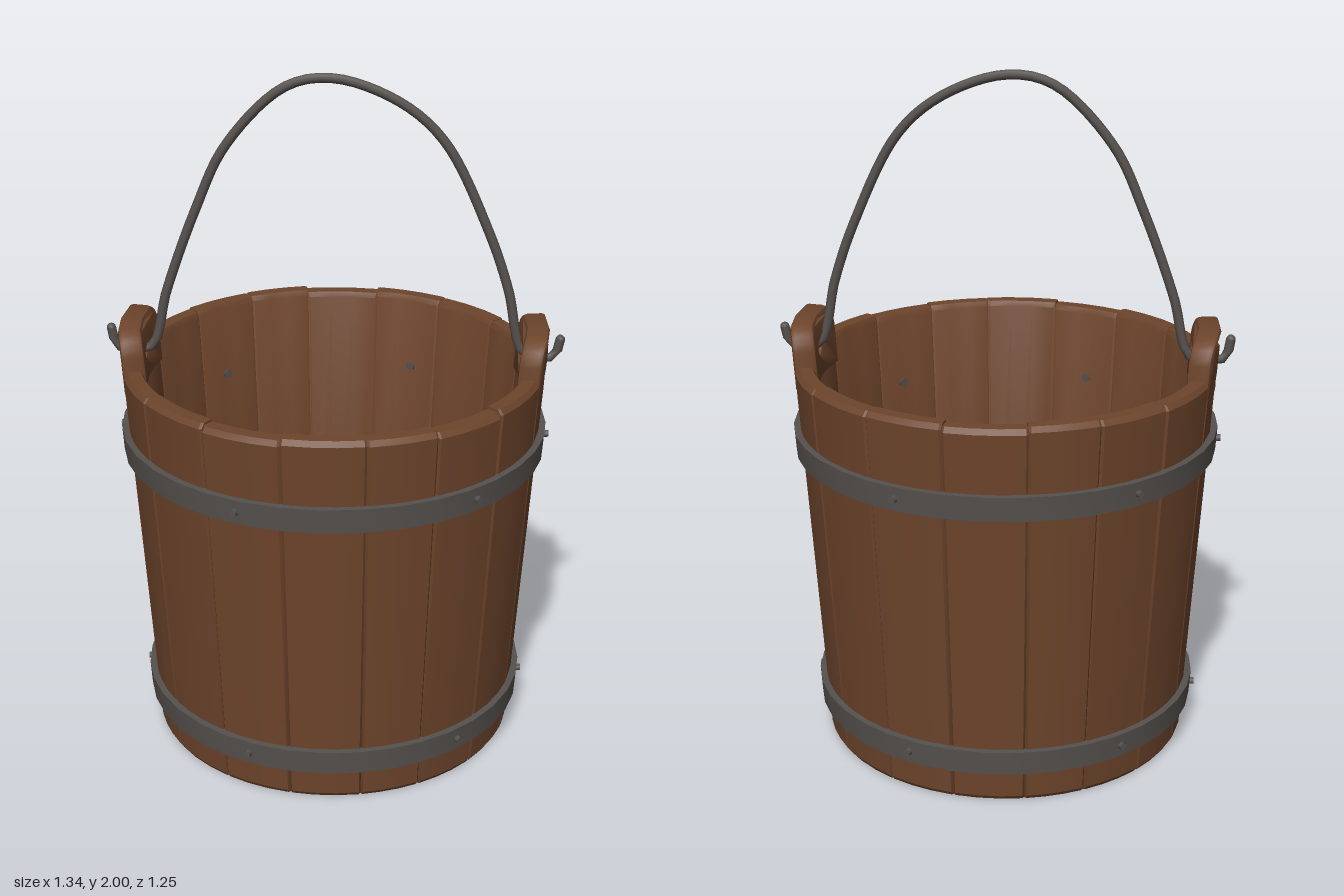
import * as THREE from 'three';
import { toCreasedNormals } from 'three/addons/utils/BufferGeometryUtils.js';

const RAD = Math.PI / 180;
const WALL = 0.058;
const outerRadius = (y) => 0.54 + 0.066 * y;

// Curved stave lofted through horizontal cross-sections, with chamfered edges and ends
function staveGeometry(a0, a1, top) {
  const c = 0.011;
  const levels = [[0, 0.007], [0.012, 0], [top - 0.015, 0], [top, 0.012]];
  const ts = [0, 1 / 3, 2 / 3, 1];
  const pos = [], index = [];
  for (const [y, inset] of levels) {
    const ro = outerRadius(y) - inset, ri = outerRadius(y) - WALL + inset * 0.6;
    const inner = ts.map((t) => [a0 + c + (a1 - a0 - 2 * c) * t, ri]);
    const outer = inner.map(([a]) => [a, ro]);
    const ring = [[a0, ro - 0.006], ...outer, [a1, ro - 0.006],
      [a1, ri + 0.003], ...inner.reverse(), [a0, ri + 0.003]];
    for (const [a, r] of ring) pos.push(r * Math.sin(a), y, r * Math.cos(a));
  }
  const n = 2 * (ts.length + 2), last = (levels.length - 1) * n;
  for (let l = 0; l < levels.length - 1; l++) {
    for (let i = 0; i < n; i++) {
      const a = l * n + i, b = l * n + (i + 1) % n;
      index.push(a, b, b + n, a, b + n, a + n);
    }
  }
  for (let i = 0; i < n / 2 - 1; i++) {
    const p = i, q = i + 1, r = n - 2 - i, s = n - 1 - i;
    index.push(last + p, last + q, last + r, last + p, last + r, last + s);
    index.push(p, r, q, p, s, r);
  }
  const g = new THREE.BufferGeometry();
  g.setAttribute('position', new THREE.Float32BufferAttribute(pos, 3));
  g.setIndex(index);
  return toCreasedNormals(g, 28 * RAD);
}

// Pierced ear on top of a wide stave, bent around the bucket
function earGeometry(angle) {
  const b = 0.012, w = 0.163 - b, top = 1.27 - b;
  const s = new THREE.Shape();
  s.moveTo(-w, 1.09);
  for (const t of [-0.5, 0, 0.5, 1]) s.lineTo(w * t, 1.09);
  s.lineTo(w, 1.2);
  s.quadraticCurveTo(w - 0.005, top - 0.015, w - 0.05, top);
  s.lineTo(0, top);
  s.lineTo(-w + 0.05, top);
  s.quadraticCurveTo(-w + 0.005, top - 0.015, -w, 1.2);
  s.closePath();
  const hole = new THREE.Path();
  hole.absarc(0, 1.175, 0.028 + b, 0, Math.PI * 2, true);
  s.holes.push(hole);
  const g = new THREE.ExtrudeGeometry(s, {
    depth: 0.068 - 2 * b, bevelEnabled: true, bevelSize: b, bevelThickness: b,
    bevelSegments: 2, curveSegments: 4,
  });
  const p = g.attributes.position;
  for (let i = 0; i < p.count; i++) {
    const y = p.getY(i), a = angle + p.getX(i) / 0.6;
    const r = outerRadius(y) - 0.055 + p.getZ(i);
    p.setXYZ(i, r * Math.sin(a), y, r * Math.cos(a));
  }
  return toCreasedNormals(g, 35 * RAD);
}

// Metal band with a rectangular section that follows the taper
function bandGeometry(y0, y1, inner, outer, segments) {
  const profile = [
    [outerRadius(y0) + inner, y0], [outerRadius(y0) + outer, y0],
    [outerRadius(y1) + outer, y1], [outerRadius(y1) + inner, y1],
    [outerRadius(y0) + inner, y0],
  ].map(([x, y]) => new THREE.Vector2(x, y));
  return toCreasedNormals(new THREE.LatheGeometry(profile, segments), 30 * RAD);
}

// Floor plank: slice of a disc between two x positions
function plankGeometry(x0, x1, radius) {
  const s = new THREE.Shape();
  const edge = (x) => Math.sqrt(Math.max(0, radius * radius - x * x));
  const steps = 5, pts = [];
  for (let i = 0; i <= steps; i++) {
    const x = x0 + (x1 - x0) * i / steps;
    pts.push(new THREE.Vector2(x, -edge(x)));
  }
  for (let i = steps; i >= 0; i--) {
    const x = x0 + (x1 - x0) * i / steps;
    if (edge(x) > 0) pts.push(new THREE.Vector2(x, edge(x)));
  }
  s.setFromPoints(pts);
  const g = new THREE.ExtrudeGeometry(s, { depth: 0.05, bevelEnabled: false });
  return g.rotateX(-Math.PI / 2).translate(0, 0.045, 0);
}

export function createModel() {
  const wood = new THREE.MeshStandardMaterial({ color: 0x6e452c });
  wood.name = 'brown wood';
  const iron = new THREE.MeshStandardMaterial({ color: 0x56514e });
  iron.name = 'dark iron';

  const model = new THREE.Group();
  model.name = 'bucket';
  const add = (name, geometry, material, parent = model) => {
    const m = new THREE.Mesh(geometry, material);
    m.name = name;
    parent.add(m);
    return m;
  };
  const group = (name) => {
    const g = new THREE.Group();
    g.name = name;
    model.add(g);
    return g;
  };

  // Wall staves: seven in front, seven behind
  const staves = group('staves');
  const seams = [-74.5, -55, -32, -10, 12, 31, 52, 74.5];
  for (const turn of [0, 180]) {
    for (let i = 0; i < seams.length - 1; i++) {
      const top = 1.16 + 0.004 * Math.sin(i * 2.3 + turn);
      add('stave', staveGeometry((seams[i] + turn) * RAD, (seams[i + 1] + turn) * RAD, top), wood, staves);
    }
  }

  // Wide side staves carrying the ears
  for (const side of [90, -90]) {
    add('earStave', staveGeometry((side - 15.5) * RAD, (side + 15.5) * RAD, 1.115), wood, staves);
    add('ear', earGeometry(side * RAD), wood, staves);
  }

  // Floor planks and the ring holding them
  const floor = group('floor');
  const cuts = [-0.492, -0.315, -0.1, 0.105, 0.31, 0.492];
  for (let i = 0; i < cuts.length - 1; i++) {
    add('floorPlank', plankGeometry(cuts[i] + 0.002, cuts[i + 1] - 0.002, 0.495), wood, floor);
  }
  add('floorRing', bandGeometry(0.09, 0.12, -0.062, -0.04, 13), iron, floor);

  // Hoops with rivets driven through the wall
  const rivetAngles = [-22, 43, 90, 157, 222, 270];
  for (const [name, y] of [['lowerHoop', 0.133], ['upperHoop', 0.932]]) {
    const hoop = group(name);
    add('band', bandGeometry(y - 0.036, y + 0.036, -0.02, 0.02, 36), iron, hoop);
    for (const deg of rivetAngles) {
      const a = deg * RAD, r = outerRadius(y) - 0.016;
      const rivet = add('rivet', new THREE.CylinderGeometry(0.011, 0.015, 0.096, 6), iron, hoop);
      rivet.rotation.set(Math.PI / 2, a, 0, 'YXZ');
      rivet.position.set(r * Math.sin(a), y, r * Math.cos(a));
    }
  }

  // Bent bail handle with hooked ends
  const path = [
    [-0.652, 1.235], [-0.638, 1.18], [-0.6, 1.172], [-0.535, 1.18], [-0.485, 1.355], [-0.395, 1.6],
    [-0.305, 1.79], [-0.135, 1.96], [0, 1.985], [0.185, 1.92], [0.31, 1.81],
    [0.44, 1.55], [0.5, 1.38], [0.55, 1.185], [0.61, 1.172], [0.64, 1.18], [0.655, 1.23],
  ].map(([x, y]) => new THREE.Vector3(x, y, 0));
  const curve = new THREE.CatmullRomCurve3(path, false, 'centripetal');
  const handle = group('handle');
  add('handleBar', new THREE.TubeGeometry(curve, 72, 0.014, 8), iron, handle);
  for (const end of [path[0], path[path.length - 1]]) {
    add('handleTip', new THREE.SphereGeometry(0.014, 8, 6), iron, handle).position.copy(end);
  }
  return model;
}
